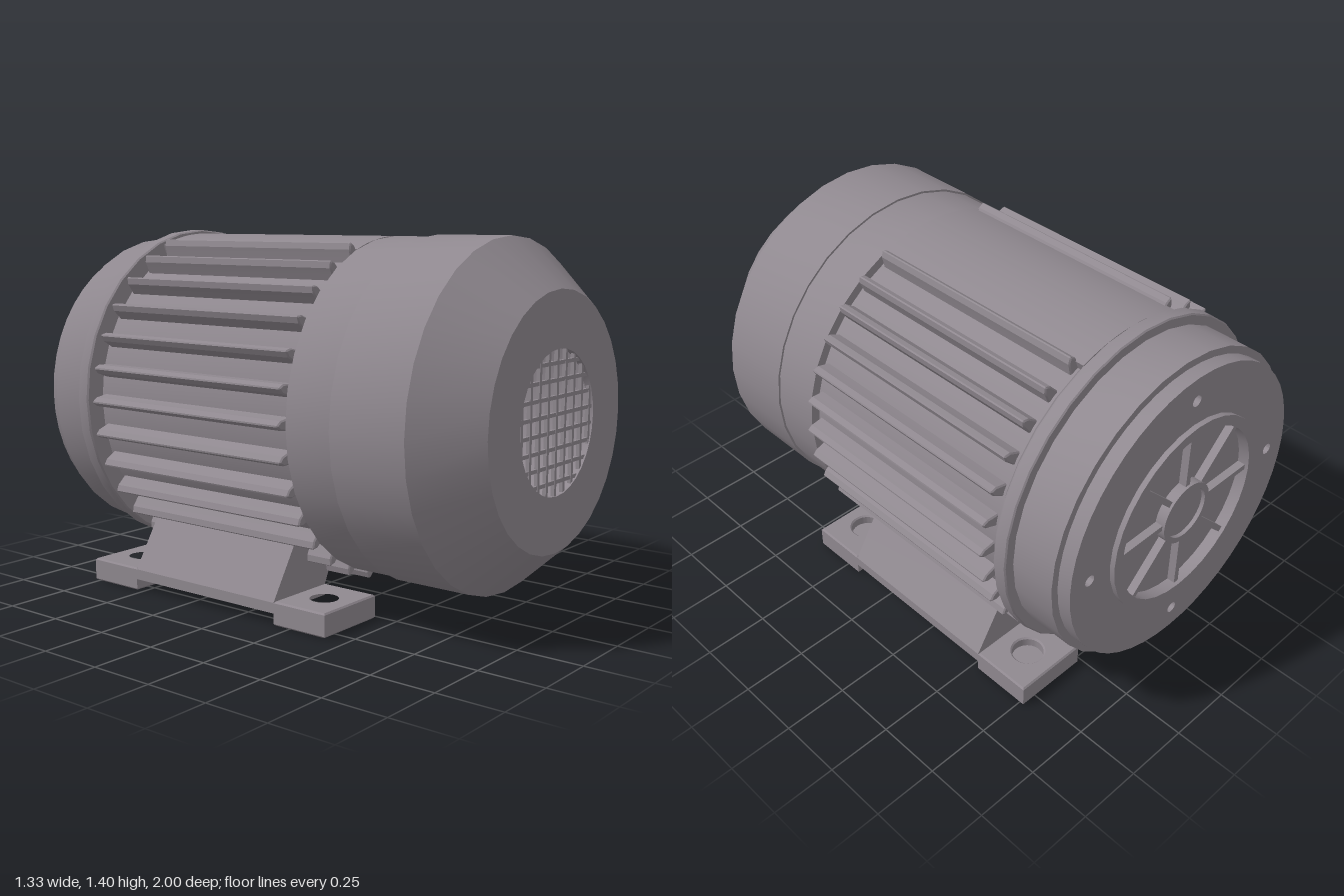
import * as THREE from 'three';
import { toCreasedNormals } from 'three/addons/utils/BufferGeometryUtils.js';

const AXIS_Y = 0.75;
const material = new THREE.MeshStandardMaterial({ color: 0x908990 });

function addMesh(parent, name, geometry) {
  const mesh = new THREE.Mesh(geometry, material);
  mesh.name = name;
  parent.add(mesh);
  return mesh;
}

// Solid of revolution about z; profile is [radius, z] listed from back to front
function turned(profile) {
  const points = profile.map(([r, z]) => new THREE.Vector2(r, z));
  const geometry = new THREE.LatheGeometry(points, 32).rotateX(Math.PI / 2);
  return toCreasedNormals(geometry, 0.5);
}

function polygon(points) {
  return new THREE.Shape(points.map(([x, y]) => new THREE.Vector2(x, y)));
}

function circleHole(x, y, r) {
  return new THREE.Path().absarc(x, y, r, 0, Math.PI * 2, true);
}

// Prism along z between two planes, with optional chamfered ends
function prism(shape, z0, z1, chamfer = 0) {
  const geometry = new THREE.ExtrudeGeometry(shape, {
    depth: z1 - z0 - 2 * chamfer, curveSegments: 24, bevelEnabled: chamfer > 0,
    bevelThickness: chamfer, bevelSize: chamfer, bevelOffset: -chamfer, bevelSegments: 1,
  });
  return toCreasedNormals(geometry.translate(0, 0, z0 + chamfer), 0.5);
}

function createFins() {
  const fins = new THREE.Group();
  fins.name = 'coolingFins';
  const section = polygon([[0.585, -0.027], [0.63, -0.019], [0.645, -0.017], [0.664, -0.003],
    [0.664, 0.003], [0.645, 0.017], [0.63, 0.019], [0.585, 0.027]]);
  const geometry = prism(section, -0.65, 0.29, 0.005);
  for (let i = 0; i < 32; i++) {
    if (Math.abs(i - 8) < 2) continue; // smooth panel on top
    addMesh(fins, 'fin', geometry).rotation.z = (i * Math.PI) / 16;
  }
  return fins;
}

function createGrille() {
  const grille = new THREE.Group();
  grille.name = 'airGrille';
  const radius = 0.262, pitch = 0.06, bar = 0.014;
  for (let i = -4; i <= 4; i++) {
    const x = i * pitch;
    const y = (i + 0.5) * pitch;
    const vertical = 2 * Math.sqrt(radius ** 2 - x ** 2);
    addMesh(grille, 'verticalBar', new THREE.BoxGeometry(bar, vertical, 0.014)).position.set(x, 0, 0.988);
    if (Math.abs(y) >= radius) continue;
    const horizontal = 2 * Math.sqrt(radius ** 2 - y ** 2);
    addMesh(grille, 'horizontalBar', new THREE.BoxGeometry(horizontal, bar, 0.012)).position.set(0, y, 0.988);
  }
  return grille;
}

function createEndBell() {
  const bell = new THREE.Group();
  bell.name = 'endBell';

  // Stepped cover with recessed centre, rim and hub
  addMesh(bell, 'endCover', turned([
    [0, -0.98], [0.1, -0.98], [0.1, -0.995], [0.122, -0.995], [0.122, -0.955], [0.345, -0.955],
    [0.345, -1], [0.385, -1], [0.385, -0.925], [0.61, -0.925], [0.61, -0.75],
    [0.645, -0.75], [0.65, -0.745], [0.65, -0.7], [0.645, -0.693], [0, -0.693],
  ]));

  // Outer face ring with four bolt holes
  const ring = new THREE.Shape().absarc(0, 0, 0.58, 0, Math.PI * 2, false);
  ring.holes.push(circleHole(0, 0, 0.38));
  for (let i = 0; i < 4; i++) {
    const a = (i * Math.PI) / 2;
    ring.holes.push(circleHole(0.485 * Math.cos(a), 0.485 * Math.sin(a), 0.022));
  }
  addMesh(bell, 'boltRing', prism(ring, -0.98, -0.92));

  // Radial ribs in the recess
  const rib = new THREE.BoxGeometry(0.235, 0.022, 0.035).translate(0.232, 0, -0.968);
  for (let i = 0; i < 8; i++) addMesh(bell, 'rib', rib).rotation.z = (i * Math.PI) / 4;
  return bell;
}

// side is +1 for the model's left, -1 for its right
function createFoot(side) {
  const foot = new THREE.Group();
  foot.name = side > 0 ? 'leftFoot' : 'rightFoot';

  // Solid web rising to the body
  const web = [[0.27, 0.045], [0.565, 0.045], [0.565, 0.085], [0.445, 0.28], [0.4, 0.36], [0.22, 0.22], [0.24, 0.15], [0.27, 0.085]];
  addMesh(foot, 'web', prism(polygon(web.map(([x, y]) => [side * x, y])), -0.53, 0.18));

  // Mounting pads with bolt recesses
  for (const [z0, z1] of [[0.18, 0.415], [-0.77, -0.53]]) {
    const x0 = side * 0.27, x1 = side * 0.565;
    const holeX = side * 0.42, holeZ = (z0 + z1) / 2;
    const pad = polygon([[x0, z0], [x1, z0], [x1, z1], [x0, z1]]);
    pad.holes.push(circleHole(holeX, holeZ, 0.06));
    const geometry = prism(pad, 0, 0.09, 0.006).rotateX(Math.PI / 2).translate(0, 0.09, 0);
    addMesh(foot, 'mountingPad', geometry);
    addMesh(foot, 'recessFloor', new THREE.CylinderGeometry(0.068, 0.068, 0.01, 24)).position.set(holeX, 0.045, holeZ);
  }
  return foot;
}

export function createModel() {
  const model = new THREE.Group();
  model.name = 'electricMotor';

  const motor = new THREE.Group();
  motor.name = 'motor';
  motor.position.y = AXIS_Y;
  model.add(motor);

  // Cylindrical body with a wider band at the front
  addMesh(motor, 'body', turned([
    [0, -0.68], [0.585, -0.68], [0.6, -0.66], [0.6, 0.3], [0.635, 0.3], [0.635, 0.51], [0, 0.51],
  ]));

  // Smooth raised panel along the top
  const half = 0.375;
  const panel = new THREE.Shape();
  panel.absarc(0, 0, 0.635, Math.PI / 2 - half, Math.PI / 2 + half, false);
  panel.absarc(0, 0, 0.58, Math.PI / 2 + half, Math.PI / 2 - half, true);
  panel.closePath();
  addMesh(motor, 'topPanel', prism(panel, -0.685, 0.3));

  // Hollow fan cowl with a round opening
  addMesh(motor, 'fanCowl', turned([
    [0.625, 0.495], [0.643, 0.495], [0.643, 0.8], [0.465, 1], [0.26, 1],
    [0.26, 0.975], [0.455, 0.975], [0.625, 0.785], [0.625, 0.495],
  ]));

  motor.add(createGrille(), createFins(), createEndBell());
  model.add(createFoot(1), createFoot(-1));
  return model;
}
